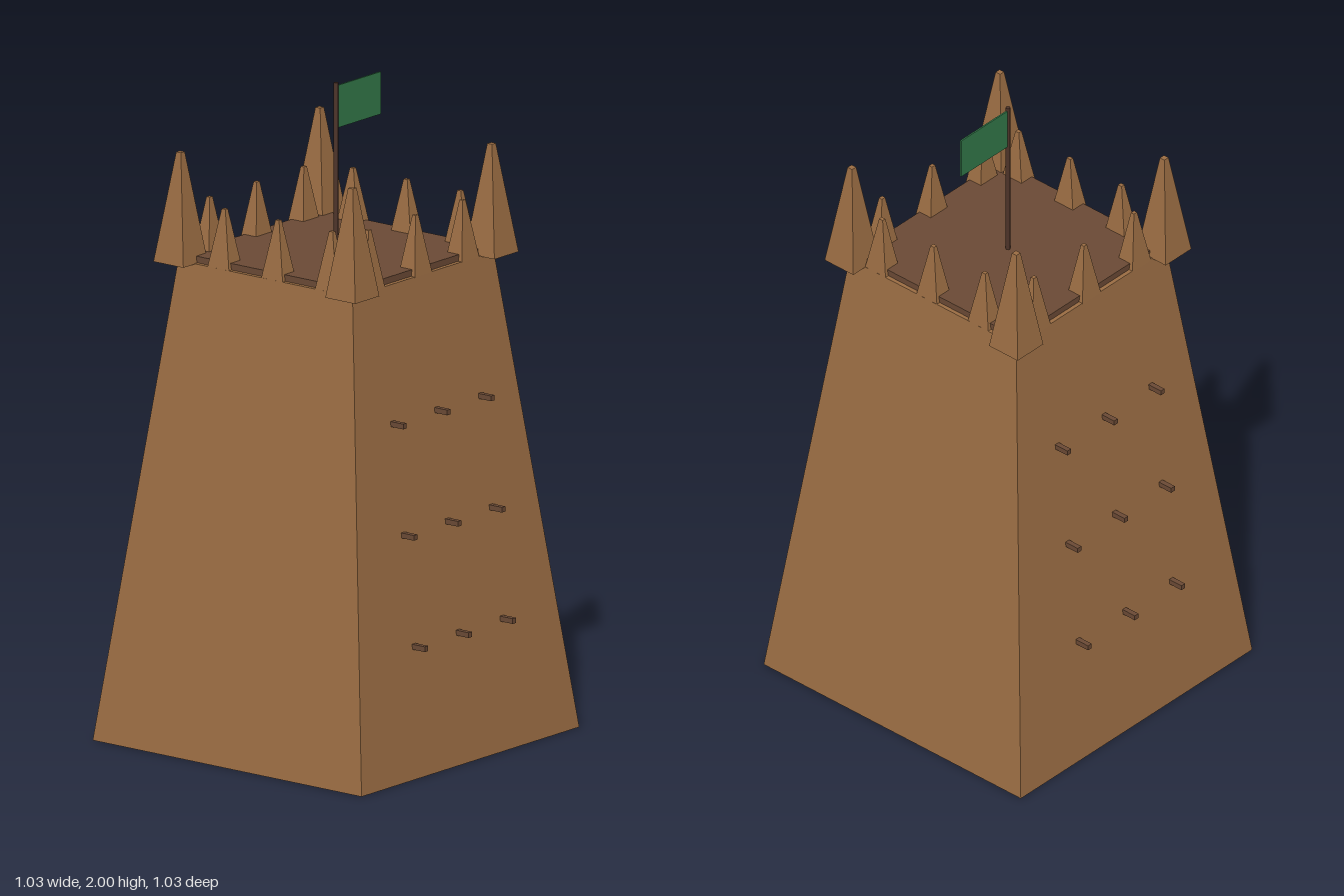
import * as THREE from 'three';

const material = (name, color) => {
  const m = new THREE.MeshStandardMaterial({ color });
  m.name = name;
  return m;
};

// Four-sided tapered block: half sizes at the base and at the top
function taperedBlock(baseX, baseZ, topX, topZ, y0, y1) {
  const geometry = new THREE.BoxGeometry(2, y1 - y0, 2);
  geometry.translate(0, (y0 + y1) / 2, 0);
  const p = geometry.attributes.position;
  const mid = (y0 + y1) / 2;
  for (let i = 0; i < p.count; i++) {
    const top = p.getY(i) > mid;
    p.setX(i, p.getX(i) * (top ? topX : baseX));
    p.setZ(i, p.getZ(i) * (top ? topZ : baseZ));
  }
  geometry.computeVertexNormals();
  return geometry;
}

export function createModel() {
  const clay = material('clay', 0x9b6d43);
  const wood = material('wood', 0x6b4a35);
  const darkWood = material('dark wood', 0x4e3429);
  const cloth = material('green cloth', 0x33794a);

  const group = new THREE.Group();
  group.name = 'tower';
  const add = (name, geometry, mat, x = 0, y = 0, z = 0) => {
    const mesh = new THREE.Mesh(geometry, mat);
    mesh.name = name;
    mesh.position.set(x, y, z);
    group.add(mesh);
    return mesh;
  };

  // Tapering tower and roof deck
  const baseHalf = 0.513, topHalf = 0.333, wallTop = 1.467;
  add('towerBody', taperedBlock(baseHalf, baseHalf, topHalf, topHalf, 0, wallTop), clay);
  add('roofDeck', new THREE.BoxGeometry(0.64, 0.04, 0.64), wood, 0, 1.467, 0);

  // Tall corner spikes
  const cornerSpike = taperedBlock(0.057, 0.057, 0.009, 0.009, 1.465, 1.8);
  for (const x of [-0.328, 0.328])
    for (const z of [-0.328, 0.328]) add('cornerSpike', cornerSpike, clay, x, 0, z);

  // Small spikes along each parapet
  const frontSpike = taperedBlock(0.041, 0.031, 0.007, 0.006, 1.465, 1.645);
  const sideSpike = taperedBlock(0.031, 0.041, 0.006, 0.007, 1.465, 1.645);
  for (const side of [-1, 1]) {
    for (const x of [-0.222, 0, 0.222]) add('parapetSpike', frontSpike, clay, x, 0, side * 0.303);
    for (const z of [-0.18, 0.025, 0.23]) add('parapetSpike', sideSpike, clay, side * 0.302, 0, z);
  }

  // Beam ends poking out of the front and back walls
  const beam = new THREE.BoxGeometry(0.016, 0.016, 0.096);
  for (const y of [0.39, 0.725, 1.06]) {
    const wallZ = baseHalf + (topHalf - baseHalf) * (y / wallTop);
    for (const x of [-0.207, 0, 0.207])
      for (const side of [-1, 1]) add('beamEnd', beam, wood, x, y, side * wallZ);
  }

  // Flagpole and flag
  add('flagpole', new THREE.CylinderGeometry(0.007, 0.007, 0.53, 8), darkWood, 0, 1.735, 0);
  add('flag', new THREE.BoxGeometry(0.205, 0.13, 0.005), cloth, 0.107, 1.925, 0);

  return group;
}
